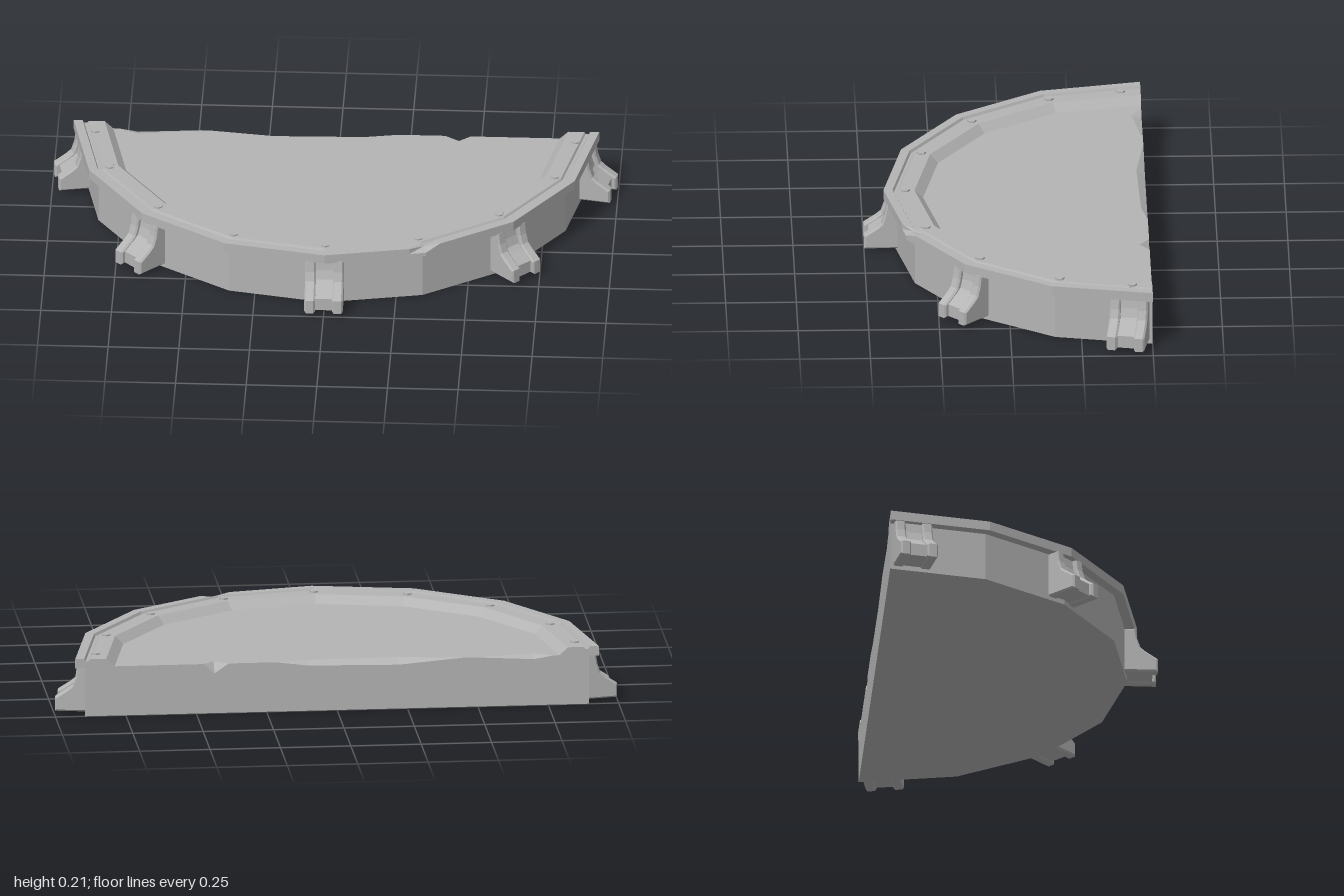
import * as THREE from 'three';

const STEP = Math.PI / 8; // the platform is half of a 16-sided polygon
const FLOOR = 0.18;

const stone = new THREE.MeshStandardMaterial({ color: 0xb4b4b4, flatShading: true });
stone.name = 'grey stone';

function mesh(name, geometry) {
  const m = new THREE.Mesh(geometry, stone);
  m.name = name;
  return m;
}

function fromTriangles(points) {
  const g = new THREE.BufferGeometry();
  g.setAttribute('position', new THREE.Float32BufferAttribute(points.flat(), 3));
  g.computeVertexNormals();
  return g;
}

// Point on the 16-gon: r is the corner radius, angle is measured from +z
function polar(angle, r, y) {
  const mid = (Math.floor(angle / STEP + 1e-6) + 0.5) * STEP;
  const d = r * Math.cos(STEP / 2) / Math.cos(angle - mid);
  return [d * Math.sin(angle), y, d * Math.cos(angle)];
}

// Rim: closed section swept around the half polygon, chipped at one corner
function rimGeometry() {
  const profile = [
    [0.79, 0.176], [0.93, 0.176], [0.93, 0.19], [0.93, 0.21], [0.898, 0.21],
    [0.893, 0.201], [0.882, 0.201], [0.877, 0.208], [0.82, 0.208], [0.79, FLOOR],
  ];
  const chipped = profile.map((p) => p.slice());
  chipped[3] = [0.905, 0.203];
  const angles = [];
  for (let i = -4; i <= 4; i++) angles.push(i * STEP);
  angles.push(STEP * 0.84, STEP * 1.16);
  angles.sort((a, b) => a - b);
  const rings = angles.map((a) =>
    (Math.abs(a - STEP) < 1e-4 ? chipped : profile).map(([r, y]) => polar(a, r, y)));

  const tris = [];
  const n = profile.length;
  for (let i = 0; i < rings.length - 1; i++) {
    for (let j = 0; j < n; j++) {
      const k = (j + 1) % n;
      const a = rings[i][j], b = rings[i + 1][j], c = rings[i + 1][k], d = rings[i][k];
      tris.push(...a, ...b, ...c, ...a, ...c, ...d);
    }
  }
  // end caps on the cut face
  const contour = profile.map(([r, y]) => new THREE.Vector2(r, y));
  const last = rings[rings.length - 1];
  for (const [a, b, c] of THREE.ShapeUtils.triangulateShape(contour, [])) {
    tris.push(...rings[0][a], ...rings[0][b], ...rings[0][c]);
    tris.push(...last[a], ...last[c], ...last[b]);
  }
  return fromTriangles(tris);
}

// Broken back edge: x, depth into the floor, drop down the back wall
const EDGE = [
  [-0.77, 0, 0], [-0.70, 0.035, 0.012], [-0.48, 0, 0],
  [-0.45, 0, 0], [-0.22, 0.03, 0.02], [0.1, 0.022, 0.015], [0.22, 0, 0],
  [0.385, 0, 0], [0.435, 0.035, 0.035], [0.475, 0, 0],
];

function floorGeometry() {
  const pts = [];
  for (let i = 4; i >= -4; i--) {
    pts.push(new THREE.Vector2(0.82 * Math.sin(i * STEP), -0.82 * Math.cos(i * STEP)));
  }
  EDGE.forEach(([x, depth]) => pts.push(new THREE.Vector2(x, -depth)));
  const g = new THREE.ShapeGeometry(new THREE.Shape(pts));
  return g.rotateX(-Math.PI / 2).translate(0, FLOOR, 0);
}

function backWallGeometry() {
  const pts = [[0.895, FLOOR], [0.895, 0], [-0.895, 0], [-0.895, FLOOR]]
    .map(([x, y]) => new THREE.Vector2(x, y));
  [...EDGE].reverse().forEach(([x, , drop]) => pts.push(new THREE.Vector2(-x, FLOOR - drop)));
  // sort the top edge so it runs from -x to +x in the unrotated shape
  const top = pts.splice(4).sort((a, b) => a.x - b.x);
  return new THREE.ShapeGeometry(new THREE.Shape([...pts, ...top])).rotateY(Math.PI);
}

function chipGeometry() {
  const tris = [];
  for (let i = 0; i < EDGE.length - 1; i++) {
    const [x0, d0, h0] = EDGE[i];
    const [x1, d1, h1] = EDGE[i + 1];
    const f0 = [x0, FLOOR, d0], f1 = [x1, FLOOR, d1];
    const w0 = [x0, FLOOR - h0, 0], w1 = [x1, FLOOR - h1, 0];
    if (d1 > 0) tris.push(...f0, ...f1, ...w1);
    if (d0 > 0) tris.push(...f0, ...w1, ...w0);
  }
  return fromTriangles(tris);
}

// Bracket: a side outline extruded across its width, pointing to +z
function bracketSlice(inset, bottom, x0, x1) {
  const outline = [
    [1.0, bottom], [1.0, 0.063], [0.955, 0.093], [0.938, 0.108], [0.927, 0.14], [0.921, 0.18],
  ].map(([u, y]) => new THREE.Vector2(u - inset, y));
  const shape = new THREE.Shape([
    new THREE.Vector2(0.85, bottom), ...outline, new THREE.Vector2(0.85, 0.18),
  ]);
  const bevel = 0.006;
  const g = new THREE.ExtrudeGeometry(shape, {
    depth: x1 - x0 - 2 * bevel, bevelThickness: bevel, bevelSize: bevel,
    bevelOffset: -bevel, bevelSegments: 1,
  });
  return g.rotateY(-Math.PI / 2).translate(x1 - bevel, 0, 0);
}

function makeBracket(angle, along, inward) {
  const holder = new THREE.Group();
  holder.name = 'bracket';
  const parts = [
    mesh('bracketFlange', bracketSlice(0, 0.013, -0.068, -0.03)),
    mesh('bracketFlange', bracketSlice(0, 0.013, 0.03, 0.068)),
    mesh('bracketWeb', bracketSlice(0.016, 0.018, -0.04, 0.04)),
  ];
  parts.forEach((p) => p.position.set(along, 0, -inward));
  holder.add(...parts);
  holder.rotation.y = angle;
  return holder;
}

export function createModel() {
  const model = new THREE.Group();
  model.name = 'halfRoundPlatform';
  const body = new THREE.Group();
  body.name = 'platformBody';
  body.position.z = -0.5;
  model.add(body);

  // outer wall with a shallow recess underneath
  const wallProfile = [[0, 0.004], [0.872, 0.004], [0.895, 0], [0.895, 0.178]]
    .map(([r, y]) => new THREE.Vector2(r, y));
  body.add(
    mesh('outerWall', new THREE.LatheGeometry(wallProfile, 8, -Math.PI / 2, Math.PI)),
    mesh('floor', floorGeometry()),
    mesh('backWall', backWallGeometry()),
    mesh('brokenEdge', chipGeometry()),
    mesh('rim', rimGeometry()),
  );

  // bolts at the rim corners, the end pair set in from the cut
  const boltGeometry = new THREE.CylinderGeometry(0.017, 0.017, 0.01, 6);
  for (let i = -4; i <= 4; i++) {
    const angle = Math.abs(i) === 4 ? Math.sign(i) * 1.487 : i * STEP;
    const bolt = mesh('bolt', boltGeometry);
    bolt.position.set(0.853 * Math.sin(angle), 0.2085, 0.853 * Math.cos(angle));
    body.add(bolt);
  }

  // brackets: front, diagonals, and one near each end
  body.add(makeBracket(0, 0, 0));
  for (const s of [-1, 1]) {
    body.add(makeBracket(s * 2 * STEP, 0, 0));
    body.add(makeBracket(s * 3.5 * STEP, s * 0.095, 0.013));
  }
  return model;
}
